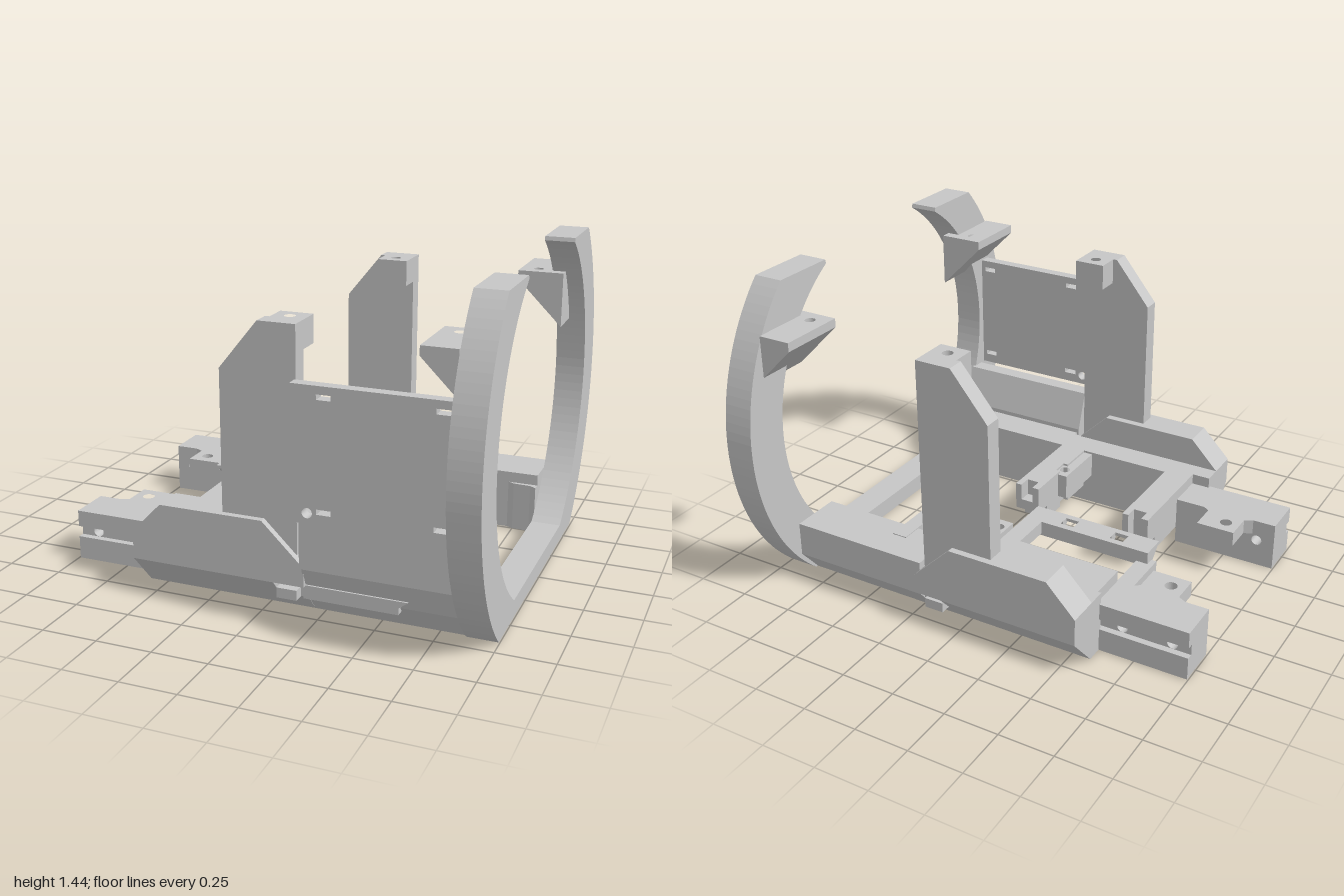
import * as THREE from 'three';

export function createModel() {
  const model = new THREE.Group();
  model.name = 'cradleFrame';
  const grey = new THREE.MeshStandardMaterial({ color: 0xc6c6c6 });
  grey.name = 'grey';

  const add = (name, geometry) => {
    const mesh = new THREE.Mesh(geometry, grey);
    mesh.name = name;
    model.add(mesh);
  };
  const box = (name, x0, x1, y0, y1, za, zb) => {
    const g = new THREE.BoxGeometry(x1 - x0, y1 - y0, Math.abs(zb - za));
    add(name, g.translate((x0 + x1) / 2, (y0 + y1) / 2, (za + zb) / 2));
  };
  const poly = (pts, flip = 1) => new THREE.Shape(pts.map(([a, b]) => new THREE.Vector2(a, b * flip)));
  const circle = (x, y, r) => new THREE.Path().absarc(x, y, r, 0, Math.PI * 2, true);
  const rect = (x, y, w, h) => new THREE.Path([
    [x - w / 2, y - h / 2], [x - w / 2, y + h / 2], [x + w / 2, y + h / 2], [x + w / 2, y - h / 2],
  ].map(p => new THREE.Vector2(...p)));
  const extrude = (shape, depth, holes = []) => {
    shape.holes.push(...holes);
    return new THREE.ExtrudeGeometry(shape, { depth, bevelEnabled: false, curveSegments: 24 });
  };
  // Profile in (x, y), swept along z
  const sweepZ = (name, pts, za, zb, holes) =>
    add(name, extrude(poly(pts), Math.abs(zb - za), holes).translate(0, 0, Math.min(za, zb)));
  // Section in (z, y), swept along x
  const sweepX = (name, pts, x0, x1) =>
    add(name, extrude(poly(pts.map(([z, y]) => [-z, y])), x1 - x0).rotateY(Math.PI / 2).translate(x0, 0, 0));
  // Plan in (x, z), swept along y; holes are given in (x, -z)
  const sweepY = (name, pts, y0, y1, holes) =>
    add(name, extrude(poly(pts, -1), y1 - y0, holes).rotateX(-Math.PI / 2).translate(0, y0, 0));

  // Open ring with a flat foot
  const arc = (r, yFrom, yTo, n = 40) => {
    const a = Math.asin((yFrom - 0.75) / r), b = Math.asin((yTo - 0.75) / r);
    return Array.from({ length: n + 1 }, (_, i) => {
      const t = a + (b - a) * i / n;
      return [r * Math.cos(t), 0.75 + r * Math.sin(t)];
    });
  };
  const half = [...arc(1, 0, 1.443), [0.425, 1.443], ...arc(0.795, 1.425, 0.08)];
  const otherHalf = half.map(([z, y]) => [-z, y]).reverse();
  sweepX('ring', [...half, ...otherHalf], 0.86, 0.995);

  // Parts found on both sides
  for (const s of [1, -1]) {
    const sec = pts => pts.map(([z, y]) => [z * s, y]);
    const plan = pts => pts.map(([x, z]) => [x, z * s]);
    const upper = s > 0 ? [[0.8, 0.24], [0.67, 0.28]] : [[0.75, 0.28]];

    // Bottom rail
    sweepX('rearRail', sec([[0.515, 0], [0.65, 0], [0.75, 0.12], ...upper, [0.515, 0.28]]), 0.2, 0.86);
    box('innerRail', -0.37, 0.2, 0, 0.28, s * 0.515, s * 0.65);
    box('frontRail', -0.585, -0.37, 0, 0.28, s * 0.56, s * 0.65);
    // Gusset where the rail meets the ring
    sweepY('railGusset', plan([[0.72, 0.515], [0.75, 0.5], [0.83, 0.495], [0.86, 0.475], [0.86, 0.53], [0.72, 0.53]]), 0, 0.23);

    // Side casing with a sloped underside
    sweepZ('casing', [[-0.585, 0.155], [0.205, 0.155], [0.205, 0.24], [0.02, 0.42], [-0.45, 0.42], [-0.585, 0.28]], s * 0.645, s * 0.79);
    sweepX('casingUnderside', sec([[0.6, 0], [0.65, 0], [0.79, 0.155], [0.6, 0.155]]), -0.585, 0.07);
    sweepX('casingUnderside', sec([[0.6, 0], [0.65, 0], [0.72, 0.08], [0.72, 0.155], [0.6, 0.155]]), 0.07, 0.2);
    box('casingClip', 0.075, 0.165, 0.08, 0.125, s * 0.7, s * 0.77);

    // Upright tower with a hooked top
    sweepZ('tower', [[-0.17, 0.28], [0.165, 0.28], [0.165, 1.25], [0, 1.25], [-0.17, 1.04]], s * 0.68, s * 0.76);
    sweepY('towerHook', plan([[0.02, 0.575], [0.165, 0.575], [0.165, 0.69], [0.02, 0.69]]), 1.13, 1.25,
      [circle(0.09, -s * 0.638, 0.024)]);

    // Wedge bracket on the ring: drilled top slab, sloped web, root inside the ring
    sweepY('bracketTop', plan([[0.71, 0.57], [0.86, 0.57], [0.86, 0.88], [0.71, 0.88]]), 1.21, 1.25,
      [circle(0.79, -s * 0.638, 0.023)]);
    sweepZ('bracketWeb', [[0.71, 1.21], [0.86, 1.06], [0.86, 1.21]], s * 0.57, s * 0.88);
    sweepZ('bracketRoot', [[0.86, 1.06], [0.92, 1], [0.92, 1.25], [0.86, 1.25]], s * 0.57, s * 0.78);

    // Front arm: two bars and a recessed drilled web
    const armRect = (y0, y1) => [[-0.995, y0], [-0.5, y0], [-0.5, y1], [-0.995, y1]];
    sweepZ('armTop', armRect(0.155, 0.23), s * 0.38, s * 0.575);
    sweepZ('armBottom', armRect(0, 0.105), s * 0.38, s * 0.575);
    sweepZ('armWeb', armRect(0.105, 0.155), s * 0.38, s * 0.545,
      [circle(-0.91, 0.13, 0.0245), circle(-0.68, 0.13, 0.0245)]);
    sweepY('armTab', plan([[-0.89, 0.381], [-0.85, 0.36], [-0.85, 0.23], [-0.67, 0.23], [-0.67, 0.36], [-0.64, 0.381]]), 0.16, 0.23,
      [circle(-0.785, -s * 0.3, 0.028)]);
    // Drilled finger beside the rail
    sweepY('finger', plan([[0.03, 0.25], [0.11, 0.25], [0.11, 0.52], [0.03, 0.52]]), 0.15, 0.27,
      [circle(0.07, -s * 0.308, 0.025)]);
  }

  // Slotted side plate and its lower wall, left open on the other side
  const slots = [[0.33, 1.005], [0.81, 1.005], [0.33, 0.535], [0.81, 0.535]].map(([x, y]) => rect(x, y, 0.06, 0.022));
  sweepZ('sidePlate', [[0.19, 0.48], [0.87, 0.48], [0.87, 1.05], [0.19, 1.05]], 0.83, 0.88,
    [...slots, circle(0.26, 0.525, 0.022)]);
  sweepX('plateWall', [[0.67, 0.24], [0.8, 0.24], [0.8, 0.48], [0.73, 0.48], [0.67, 0.3]], 0.19, 0.87);
  sweepZ('plateLip', [[0.2, 0.1], [0.61, 0.1], [0.61, 0.13], [0.65, 0.16], [0.2, 0.16]], 0.7, 0.775);

  // Notched cross bars; the second is relieved around the finger bore
  const relief = [[0.075, 0.345], [0.098, 0.345], [0.098, 0.27], [0.075, 0.27]];
  for (const [x0, x1, cut] of [[-0.5, -0.37, []], [0.075, 0.2, relief]]) {
    sweepY('crossBar', [[x0, 0.14], [x1, 0.14], [x1, 0.64], [x0, 0.64], ...cut], 0.08, 0.28);
    const n0 = x0 + 0.035, n1 = x1 - 0.03;
    sweepY('crossBarEnd', [[x0, 0.06], [n0, 0.06], [n0, 0.12], [n1, 0.12], [n1, 0.06], [x1, 0.06], [x1, 0.141], [x0, 0.141]], 0.15, 0.28);
  }
  box('crossBarFloor', 0.1, 0.18, 0.15, 0.2, 0.06, 0.13);

  // Open tray on the far side
  box('trayBlock', -0.57, -0.08, 0.08, 0.28, -0.6, -0.38);
  box('trayBack', -0.57, 0.02, 0.15, 0.28, -0.65, -0.58);
  box('traySide', -0.645, -0.565, 0.15, 0.225, -0.4, -0.15);
  box('traySide', -0.085, 0, 0.22, 0.28, -0.6, -0.15);
  sweepY('trayLip', [[-0.62, -0.19], [0, -0.19], [0, -0.14], [-0.62, -0.14]], 0.21, 0.28,
    [rect(-0.45, 0.15, 0.065, 0.019), rect(-0.2, 0.15, 0.065, 0.019)]);
  const lipSection = [[-0.075, 0.28], [-0.14, 0.28], [-0.14, 0.215]];
  for (const [x0, x1] of [[-0.62, -0.4825], [-0.4175, -0.2325], [-0.1675, 0]]) sweepX('trayLipEdge', lipSection, x0, x1);
  box('trayLipRim', -0.62, 0, 0.265, 0.28, -0.105, -0.075);

  // Forked bracket with a large bore
  sweepY('forkBracket', [[0.195, -0.17], [0.35, -0.17], [0.35, -0.19], [0.38, -0.19], [0.38, -0.17], [0.44, -0.17],
    [0.44, -0.61], [0.37, -0.61], [0.37, -0.42], [0.34, -0.46], [0.26, -0.46], [0.26, -0.61], [0.195, -0.61]], 0.2, 0.284,
    [circle(0.32, 0.305, 0.055)]);
  box('forkLeg', 0.2, 0.26, 0.08, 0.21, -0.46, -0.17);
  return model;
}
